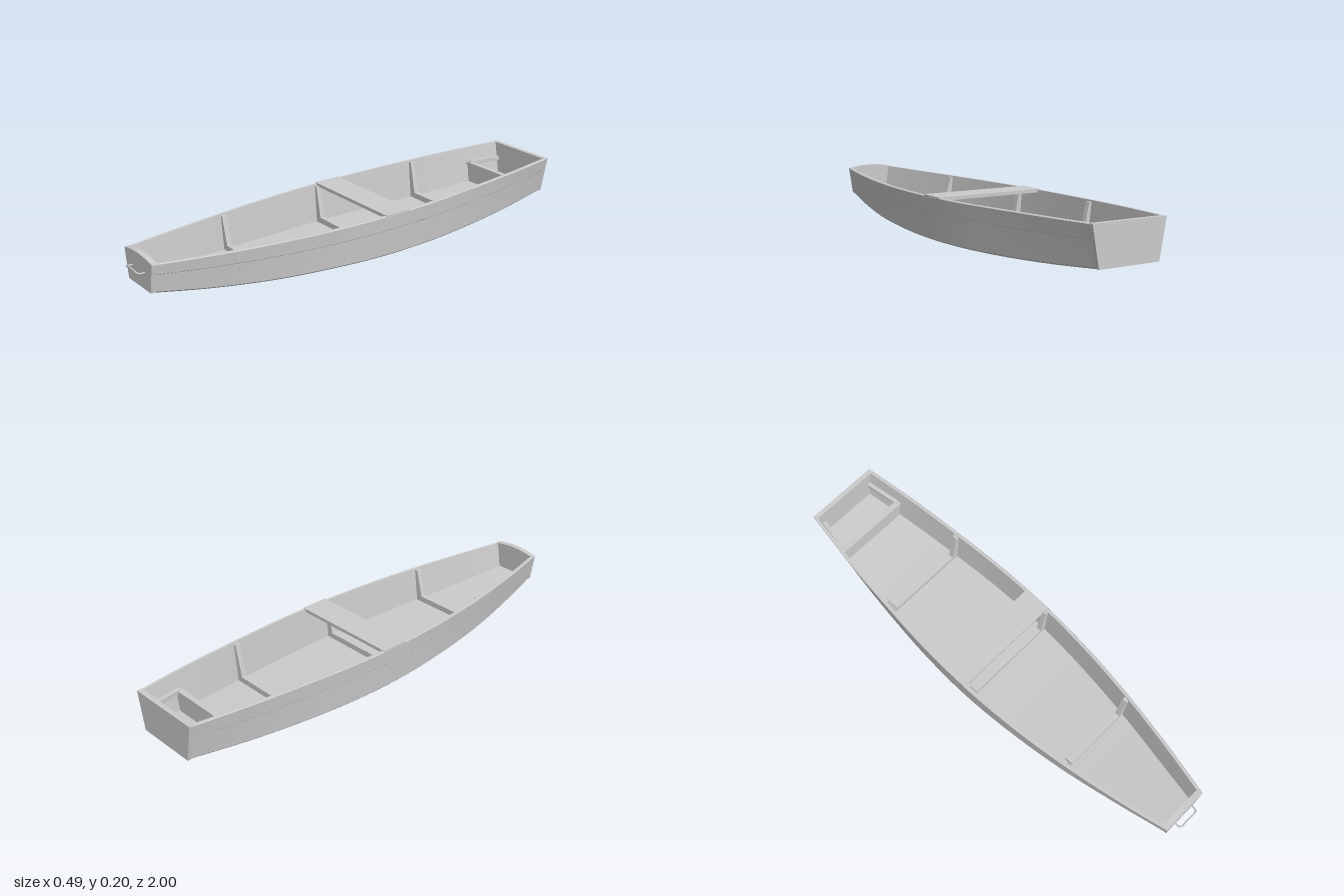
import * as THREE from 'three';
import { toCreasedNormals } from 'three/addons/utils/BufferGeometryUtils.js';

const mat = new THREE.MeshStandardMaterial({ color: 0xcccccc });
const BOW = 0.965, STERN = -0.99, WALL = 0.014, FLOOR = 0.014;

// Hull lines per station: sheer half-width, sheer height, chine half-width, chine height
const stations = [STERN, -0.75, -0.5, -0.25, 0, 0.25, 0.5, 0.75, BOW];
const lines = new THREE.CubicInterpolant(stations, [
  0.163, 0.196, 0.133, 0.036,
  0.197, 0.192, 0.172, 0.019,
  0.222, 0.187, 0.203, 0.007,
  0.240, 0.182, 0.224, 0.001,
  0.243, 0.179, 0.228, 0.001,
  0.228, 0.177, 0.210, 0.006,
  0.197, 0.177, 0.177, 0.016,
  0.152, 0.179, 0.130, 0.036,
  0.105, 0.183, 0.086, 0.063,
], 4, new Float32Array(4));

function station(z) {
  const [topW, topY, botW, botY] = lines.evaluate(z);
  const at = (y) => botW + (topW - botW) * (y - botY) / (topY - botY);
  return { topW, topY, botW, botY, at };
}

const mirror = (half) => [...half, ...half.map(([x, y]) => [-x, y]).reverse()];

function add(group, name, geometry) {
  const mesh = new THREE.Mesh(geometry, mat);
  mesh.name = name;
  group.add(mesh);
  return mesh;
}

// Board cut from an outline in x/y, spanning z to z + depth
function board(points, z, depth) {
  const shape = new THREE.Shape(points.map(([x, y]) => new THREE.Vector2(x, y)));
  return new THREE.ExtrudeGeometry(shape, { depth, bevelEnabled: false }).translate(0, 0, z);
}

// Floor and lapped sides as one closed section, lofted from stern to bow
function hullGeometry() {
  const steps = 64, pos = [], idx = [];
  let n = 0;
  for (let i = 0; i <= steps; i++) {
    const z = STERN + (BOW - STERN) * i / steps;
    const s = station(z), lap = s.botY + (s.topY - s.botY) * 0.65, fy = s.botY + FLOOR;
    const ring = mirror([
      [s.botW - 0.006, s.botY], [s.botW, s.botY + 0.006],
      [s.at(lap) - 0.002, lap - 0.002], [s.at(lap), lap],
      [s.topW, s.topY - 0.003], [s.topW - 0.003, s.topY],
      [s.topW - WALL, s.topY], [s.at(fy) - WALL, fy],
    ]);
    n = ring.length;
    ring.forEach(([x, y]) => pos.push(x, y, z));
  }
  for (let i = 0; i < steps; i++) for (let j = 0; j < n; j++) {
    const a = i * n + j, b = i * n + (j + 1) % n;
    idx.push(a, b, b + n, a, b + n, a + n);
  }
  const g = new THREE.BufferGeometry();
  g.setAttribute('position', new THREE.Float32BufferAttribute(pos, 3));
  g.setIndex(idx);
  return toCreasedNormals(g, 0.5);
}

// End board following the hull section, its top edge arched by crown
function endBoard(z, zStart, depth, crown) {
  const s = station(z), pts = [[-s.botW, s.botY], [s.botW, s.botY]];
  for (let i = 0; i <= 12; i++) {
    const u = 1 - i / 6;
    pts.push([s.topW * u, s.topY + crown * (1 - u * u)]);
  }
  return board(pts, zStart, depth);
}

// U-shaped rib: a floor timber with a tapering post up each side
function rib(z) {
  const s = station(z), top = s.topY - 0.006, fy = s.botY + 0.005, ty = s.botY + FLOOR + 0.024;
  const inset = WALL - 0.004;
  return board([
    [-s.at(fy) + inset, fy], [s.at(fy) - inset, fy],
    [s.at(top) - inset, top], [s.at(top) - 0.026, top],
    [s.at(ty) - 0.042, ty], [-s.at(ty) + 0.042, ty],
    [-s.at(top) + 0.026, top], [-s.at(top) + inset, top],
  ], z - 0.011, 0.022);
}

export function createModel() {
  const boat = new THREE.Group();
  boat.name = 'rowingBoat';

  add(boat, 'hull', hullGeometry());
  add(boat, 'bowBoard', endBoard(BOW, BOW - 0.022, 0.024, 0.012));
  add(boat, 'transom', endBoard(STERN, STERN - 0.005, 0.02, 0));

  for (const z of [-0.505, 0.0, 0.495]) add(boat, 'rib', rib(z));

  // Low bulkhead with a capping strip near the stern
  const bz = -0.82, s = station(bz), by = 0.122, fy = s.botY + 0.005, inset = WALL - 0.004;
  add(boat, 'sternBulkhead', board([
    [-s.at(fy) + inset, fy], [s.at(fy) - inset, fy],
    [s.at(by) - inset, by], [-s.at(by) + inset, by],
  ], bz - 0.008, 0.016));
  add(boat, 'bulkheadCap', new THREE.BoxGeometry(2 * (s.at(by) - inset), 0.012, 0.024))
    .position.set(0, by, bz);

  // Seat ledges along both sides behind the bulkhead
  const e = station(STERN), ax = s.at(by) - 0.02, ex = e.at(by) - 0.02;
  for (const side of [-1, 1]) {
    const ledge = add(boat, 'sternLedge', new THREE.BoxGeometry(0.018, 0.018, bz - STERN));
    ledge.position.set(side * (ax + ex) / 2, by, (bz + STERN) / 2);
    ledge.rotation.y = side * Math.atan2(ax - ex, bz - STERN);
  }

  // Thwart laid across the gunwales
  add(boat, 'thwart', new THREE.BoxGeometry(0.486, 0.014, 0.12)).position.set(0, 0.176, -0.062);

  // Bow grab handle
  const path = new THREE.CatmullRomCurve3([
    [-0.048, 0.131, 0.96], [-0.047, 0.132, 0.988], [-0.038, 0.136, 0.996],
    [-0.02, 0.14, 0.996], [0.02, 0.139, 0.996],
    [0.038, 0.137, 0.996], [0.047, 0.134, 0.988], [0.048, 0.133, 0.96],
  ].map((p) => new THREE.Vector3(...p)));
  add(boat, 'bowHandle', new THREE.TubeGeometry(path, 40, 0.0035, 8));

  return boat;
}
